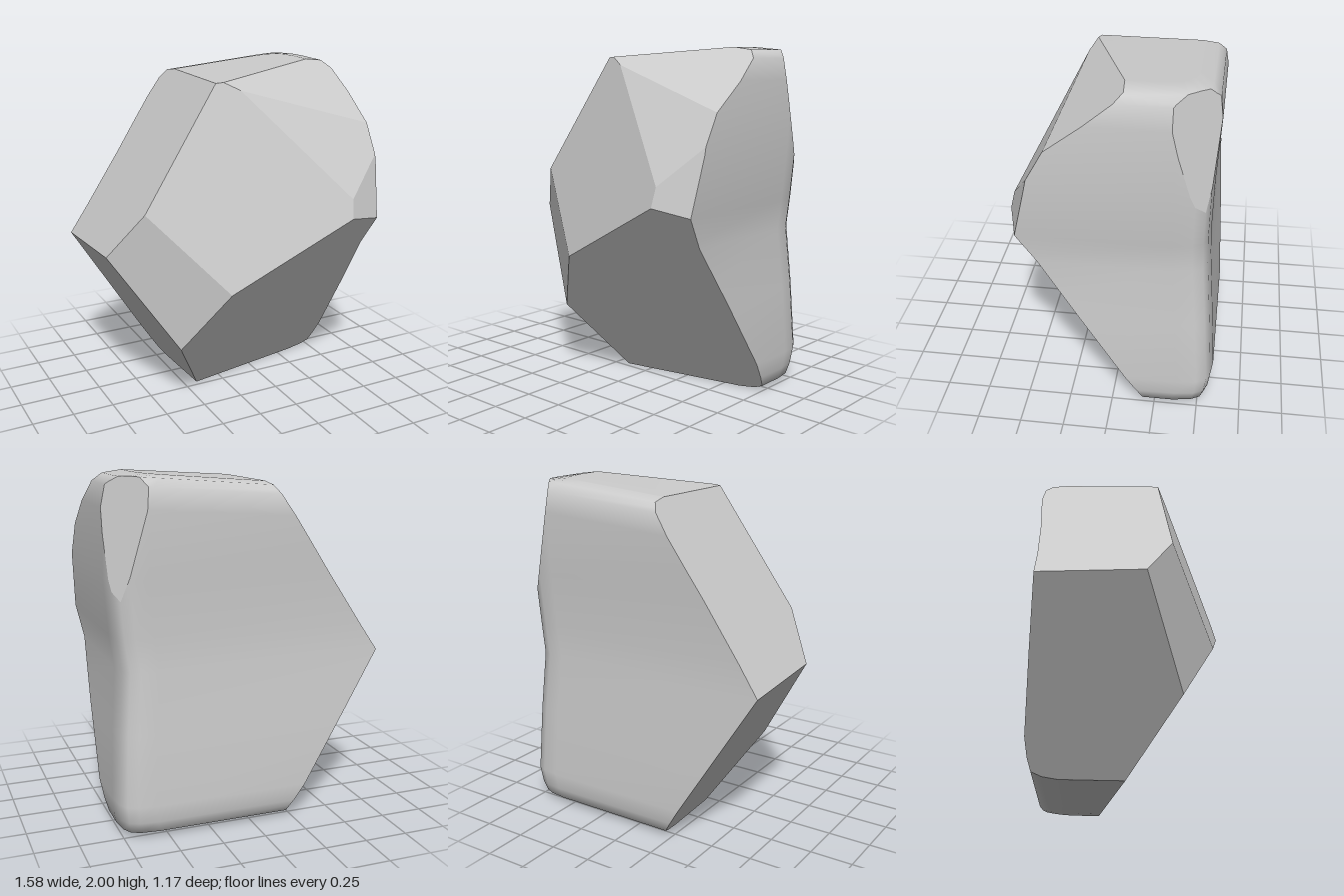
import * as THREE from 'three';

// Rounded block behind the chips: [height, right side x, back side z]
const rows = [
  [0, 0.6, -0.4], [0.012, 0.7, -0.49], [0.035, 0.755, -0.55], [0.1, 0.77, -0.57], [0.2, 0.782, -0.583],
  [0.6, 0.763, -0.558], [0.95, 0.737, -0.533], [1.13, 0.762, -0.528], [1.45, 0.788, -0.535],
  [1.82, 0.783, -0.556], [1.94, 0.758, -0.543], [1.985, 0.71, -0.5], [2, 0.6, -0.41],
];
// Rounded back corner, as insets from the right side and the back
const corner = [[0.2, 0], [0.1, 0.012], [0.045, 0.035], [0.015, 0.09], [0, 0.2]];

// Flat chips: everything on the far side of normal . p = offset is cut away
const chips = [
  [[0.184, -0.643, 1], -0.066],    // lower front
  [[-0.296, 0.278, 1], 0.748],     // broad upper front
  [[0.246, 1.32, 1], 2.728],       // top front slope
  [[0.019, 0.562, 1], 1.288],      // upper front, beside the slope
  [[0.3455, 0.214, 1], 1.025],     // small front chip
  [[-0.708, -0.09, 1], 0.531],     // narrow side of the front
  [[-1.474, 1, -0.017], 2.129],    // upper slanted end
  [[-1, -0.622, 0.05], 0.168],     // lower slanted end
  [[1, 0.198, -0.7925], 1.394],    // top back corner
];

// Loft the rings into triangles of {p, n} corners with smooth normals
function blockFaces() {
  const pos = [], idx = [];
  for (const [y, X, Z] of rows) {
    const ring = [[-1.2, Z], [-1, Z], ...corner.map(([a, b]) => [X - a, Z + b]), [X, 0.7], [X, 0.9], [-1.2, 0.9]];
    const tilt = THREE.MathUtils.clamp((y - 1.4) / 0.5, 0, 1) * 0.08;
    for (const [x, z] of ring) pos.push(x, y + Math.min(0, x - 0.6) * tilt, z);
  }
  const n = corner.length + 5, top = (rows.length - 1) * n;
  for (let r = 0; r < top; r += n) {
    for (let i = 0; i < n; i++) {
      const a = r + i, b = r + (i + 1) % n;
      idx.push(a, a + n, b, b, a + n, b + n);
    }
  }
  for (let i = 1; i < n - 1; i++) idx.push(0, i, i + 1, top, top + i + 1, top + i);
  const g = new THREE.BufferGeometry();
  g.setAttribute('position', new THREE.Float32BufferAttribute(pos, 3));
  g.setIndex(idx);
  g.computeVertexNormals();
  const at = (k) => ({
    p: new THREE.Vector3().fromBufferAttribute(g.attributes.position, k),
    n: new THREE.Vector3().fromBufferAttribute(g.attributes.normal, k),
  });
  const faces = [];
  for (let i = 0; i < idx.length; i += 3) faces.push([at(idx[i]), at(idx[i + 1]), at(idx[i + 2])]);
  return faces;
}

// Cut the faces with a plane and close the cut with a flat cap
function chip(faces, [normal, offset]) {
  const nrm = new THREE.Vector3(...normal);
  const dist = (v) => nrm.dot(v.p) - offset;
  const out = [], cut = [];
  for (const f of faces) {
    const kept = [];
    f.forEach((a, i) => {
      const b = f[(i + 1) % f.length], da = dist(a), db = dist(b);
      if (da <= 0) kept.push(a);
      if ((da <= 0) !== (db <= 0)) {
        const t = da / (da - db);
        const v = { p: a.p.clone().lerp(b.p, t), n: a.n.clone().lerp(b.n, t).normalize() };
        kept.push(v);
        cut.push(v.p);
      }
    });
    if (kept.length > 2) out.push(kept);
  }
  if (cut.length < 3) return out;
  const n = nrm.clone().normalize();
  const c = cut.reduce((s, p) => s.add(p), new THREE.Vector3()).divideScalar(cut.length);
  const u = new THREE.Vector3(n.y, n.z, n.x).cross(n).normalize(), w = n.clone().cross(u);
  const angle = (p) => Math.atan2(p.clone().sub(c).dot(w), p.clone().sub(c).dot(u));
  const rim = cut.map((p) => ({ p, a: angle(p) })).sort((s, t) => s.a - t.a);
  rim.forEach(({ p }, i) => {
    const q = rim[(i + 1) % rim.length].p;
    if (p.distanceTo(q) > 1e-6) out.push([{ p: c, n }, { p, n }, { p: q, n }]);
  });
  return out;
}

export function createModel() {
  const faces = chips.reduce(chip, blockFaces());
  const pos = [], nor = [];
  for (const f of faces) {
    for (let i = 1; i < f.length - 1; i++) {
      for (const v of [f[0], f[i], f[i + 1]]) {
        pos.push(...v.p.toArray());
        nor.push(...v.n.toArray());
      }
    }
  }
  const g = new THREE.BufferGeometry();
  g.setAttribute('position', new THREE.Float32BufferAttribute(pos, 3));
  g.setAttribute('normal', new THREE.Float32BufferAttribute(nor, 3));
  const rock = new THREE.Mesh(g, new THREE.MeshStandardMaterial({ color: 0xcccccc }));
  rock.name = 'rock';
  const group = new THREE.Group();
  group.name = 'chippedRock';
  group.add(rock);
  return group;
}
